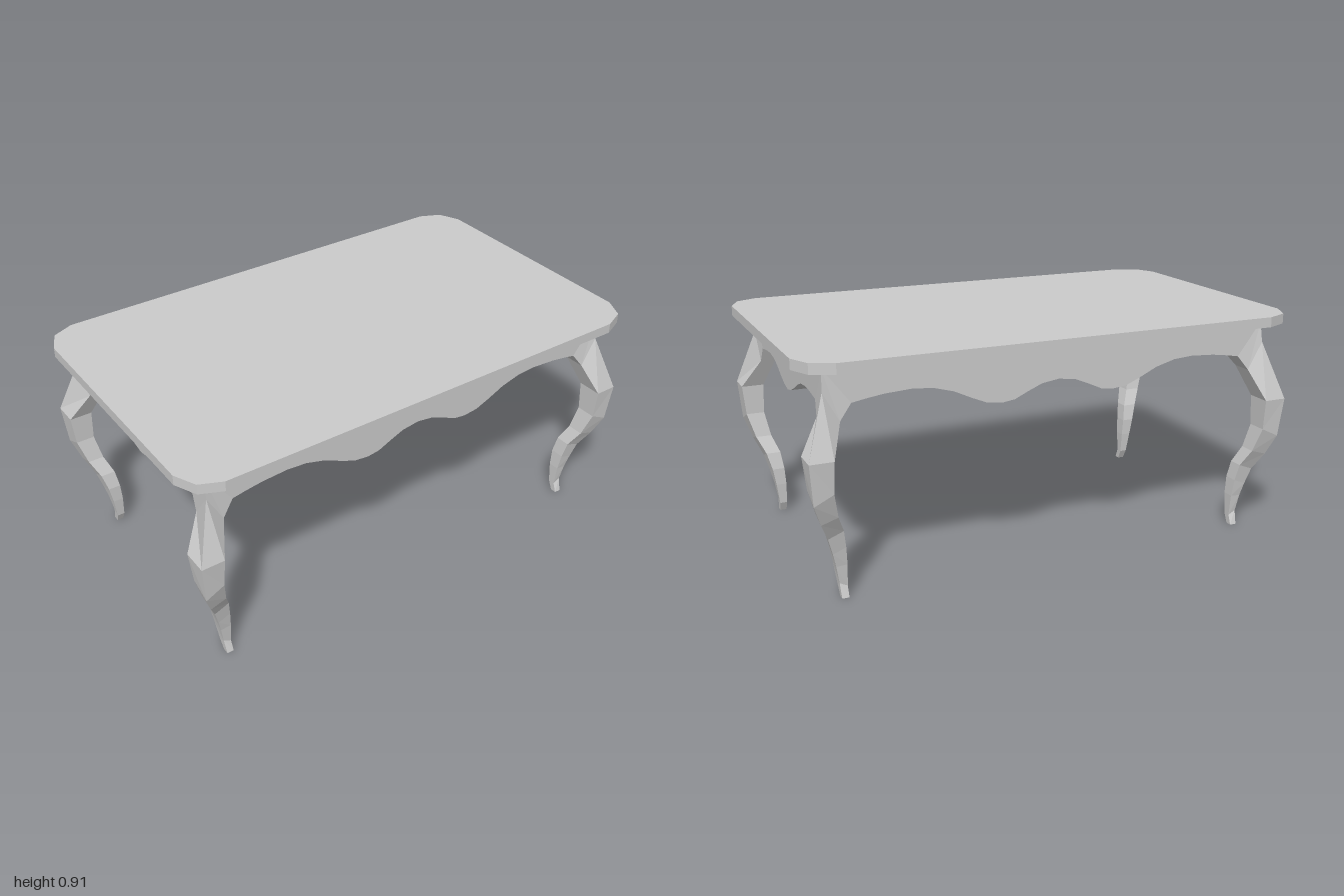
import * as THREE from 'three';

const material = new THREE.MeshStandardMaterial({ color: 0xcccccc, flatShading: true });
const TOP = 0.91, UNDER = 0.87, THICK = 0.1;

function addMesh(group, geometry, name) {
  const mesh = new THREE.Mesh(geometry, material);
  mesh.name = name;
  group.add(mesh);
  return mesh;
}

// Tabletop with faceted corners
function tabletopGeometry() {
  const corner = [[1, 0.48], [0.96, 0.567], [0.875, 0.605]];
  const back = [...corner].reverse();
  const outline = [
    ...corner,
    ...back.map(([x, z]) => [-x, z]),
    ...corner.map(([x, z]) => [-x, -z]),
    ...back.map(([x, z]) => [x, -z]),
  ].map(([x, z]) => new THREE.Vector2(x, z));
  const geometry = new THREE.ExtrudeGeometry(new THREE.Shape(outline), { depth: TOP - UNDER, bevelEnabled: false });
  return geometry.rotateX(-Math.PI / 2).translate(0, UNDER, 0);
}

// Scalloped apron panel, mirrored from its half profile; the ends rise to the table corner
function apronGeometry(half, end) {
  const right = half.map(([x, y]) => new THREE.Vector2(x, y));
  const left = right.slice(1).reverse().map((p) => new THREE.Vector2(-p.x, p.y));
  const shape = new THREE.Shape([
    new THREE.Vector2(-end, UNDER), ...left, ...right, new THREE.Vector2(end, UNDER),
  ]);
  return new THREE.ExtrudeGeometry(shape, { depth: THICK, bevelEnabled: false });
}

// Cabriole leg sections: outer x, y, z of the corner, then inner x, y, z
const legSections = [
  [0.90, 0.87, 0.505, 0.80, 0.738, 0.405],
  [0.905, 0.79, 0.516, 0.845, 0.68, 0.432],
  [0.98, 0.563, 0.588, 0.89, 0.563, 0.487],
  [0.967, 0.404, 0.575, 0.893, 0.44, 0.493],
  [0.937, 0.32, 0.542, 0.873, 0.34, 0.474],
  [0.904, 0.247, 0.503, 0.845, 0.27, 0.443],
  [0.885, 0.18, 0.488, 0.835, 0.20, 0.43],
  [0.872, 0.125, 0.477, 0.83, 0.128, 0.431],
  [0.86, 0.055, 0.468, 0.83, 0.04, 0.439],
  [0.857, 0, 0.484, 0.83, 0, 0.458],
];

// Four-sided leg swept through the sections, mirrored by sx and sz
function legGeometry(sx, sz) {
  const positions = [], indices = [];
  const flip = sx * sz < 0;
  const tri = (a, b, c) => indices.push(...(flip ? [a, c, b] : [a, b, c]));
  for (const [ox, oy, oz, ix, iy, iz] of legSections) {
    for (const [x, y, z] of [[ox, oy, oz], [ix, iy, oz], [ix, iy, iz], [ox, iy, iz]]) {
      positions.push(x * sx, y, z * sz);
    }
  }
  const last = (legSections.length - 1) * 4;
  for (let ring = 0; ring < last; ring += 4) {
    for (let j = 0; j < 4; j++) {
      const a = ring + j, b = ring + ((j + 1) % 4);
      tri(a, b, b + 4);
      tri(a, b + 4, a + 4);
    }
  }
  // Foot sole
  tri(last, last + 1, last + 2);
  tri(last, last + 2, last + 3);
  const geometry = new THREE.BufferGeometry();
  geometry.setAttribute('position', new THREE.Float32BufferAttribute(positions, 3));
  geometry.setIndex(indices);
  const flat = geometry.toNonIndexed();
  flat.computeVertexNormals();
  return flat;
}

export function createModel() {
  const table = new THREE.Group();
  table.name = 'table';
  addMesh(table, tabletopGeometry(), 'tabletop');

  // Long aprons have two drops, short aprons have one
  const longProfile = [
    [0, 0.735], [0.07, 0.725], [0.13, 0.7], [0.18, 0.677], [0.23, 0.67], [0.29, 0.677], [0.35, 0.702],
    [0.42, 0.735], [0.5, 0.757], [0.58, 0.763], [0.68, 0.757], [0.75, 0.747], [0.8, 0.738],
  ];
  const shortProfile = [
    [0, 0.668], [0.05, 0.678], [0.1, 0.698], [0.16, 0.727], [0.21, 0.744], [0.27, 0.75], [0.32, 0.748], [0.405, 0.738],
  ];
  for (const s of [1, -1]) {
    const turn = s > 0 ? 0 : Math.PI;
    const long = apronGeometry(longProfile, 0.9).translate(0, 0, 0.505 - THICK).rotateY(turn);
    addMesh(table, long, s > 0 ? 'frontApron' : 'backApron');
    const short = apronGeometry(shortProfile, 0.505).translate(0, 0, 0.9 - THICK).rotateY(Math.PI / 2 + turn);
    addMesh(table, short, s > 0 ? 'leftApron' : 'rightApron');
  }

  // Four mirrored legs
  for (const sx of [1, -1]) {
    for (const sz of [1, -1]) {
      addMesh(table, legGeometry(sx, sz), (sz > 0 ? 'front' : 'back') + (sx > 0 ? 'Left' : 'Right') + 'Leg');
    }
  }
  return table;
}
